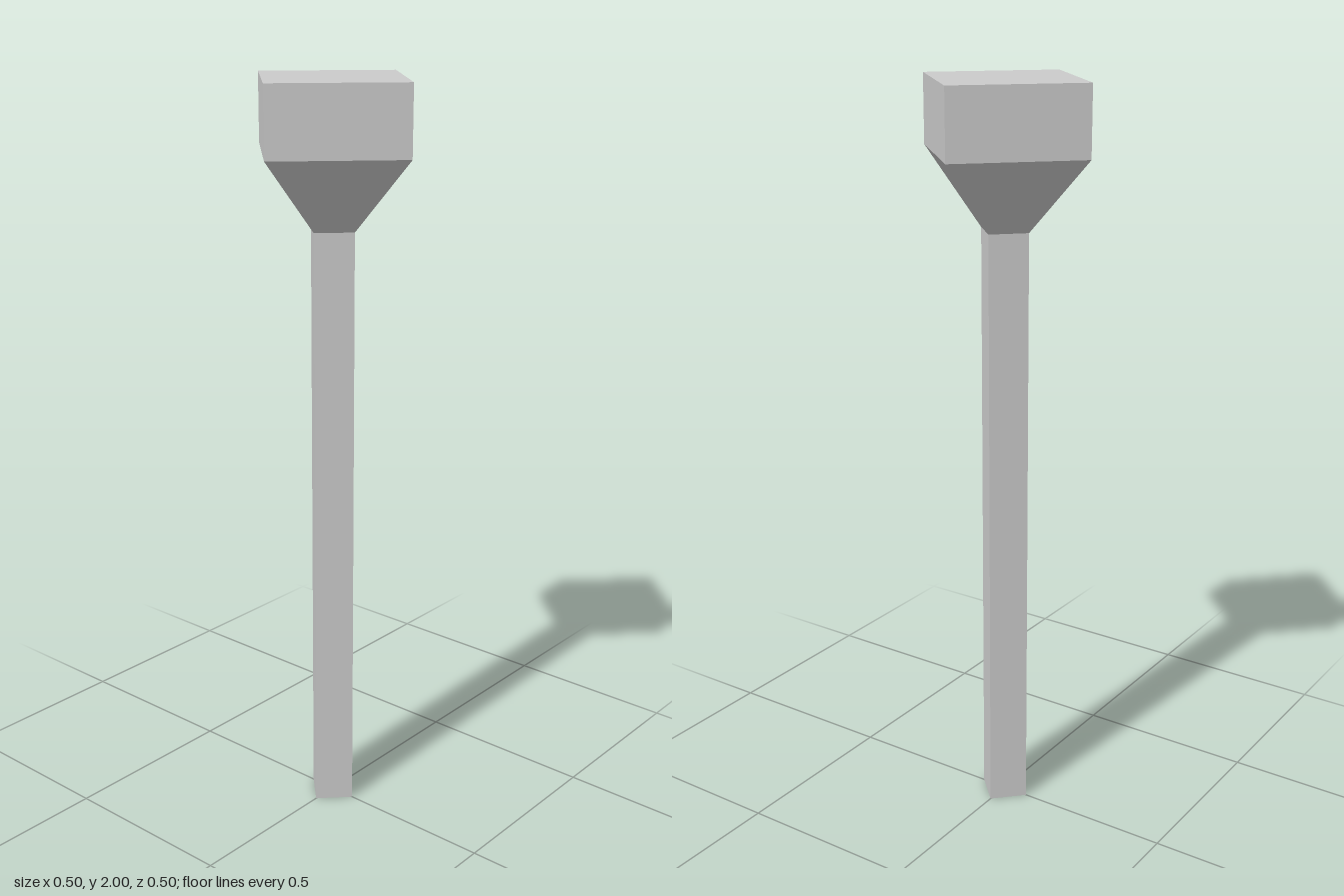
import * as THREE from 'three';

const SHAFT_R = 0.073, HEAD_R = 0.25;
const SHAFT_TOP = 1.625, FLARE_TOP = 1.82, TOP = 2;

const material = new THREE.MeshStandardMaterial({ color: 0xcccccc, flatShading: true });

// Four-sided part swept from a [radius, height] profile, corners on the x and z axes
function squarePart(name, profile) {
  const points = profile.map(([r, y]) => new THREE.Vector2(r, y));
  const mesh = new THREE.Mesh(new THREE.LatheGeometry(points, 4), material);
  mesh.name = name;
  return mesh;
}

export function createModel() {
  const group = new THREE.Group();
  group.name = 'flaredPost';
  group.add(
    // Long square shaft, closed at the bottom
    squarePart('shaft', [[0, 0], [SHAFT_R, 0], [SHAFT_R, SHAFT_TOP]]),
    // Tapered transition from shaft to head
    squarePart('flare', [[SHAFT_R, SHAFT_TOP], [HEAD_R, FLARE_TOP]]),
    // Square head, closed at the top
    squarePart('head', [[HEAD_R, FLARE_TOP], [HEAD_R, TOP], [0, TOP]])
  );
  return group;
}
